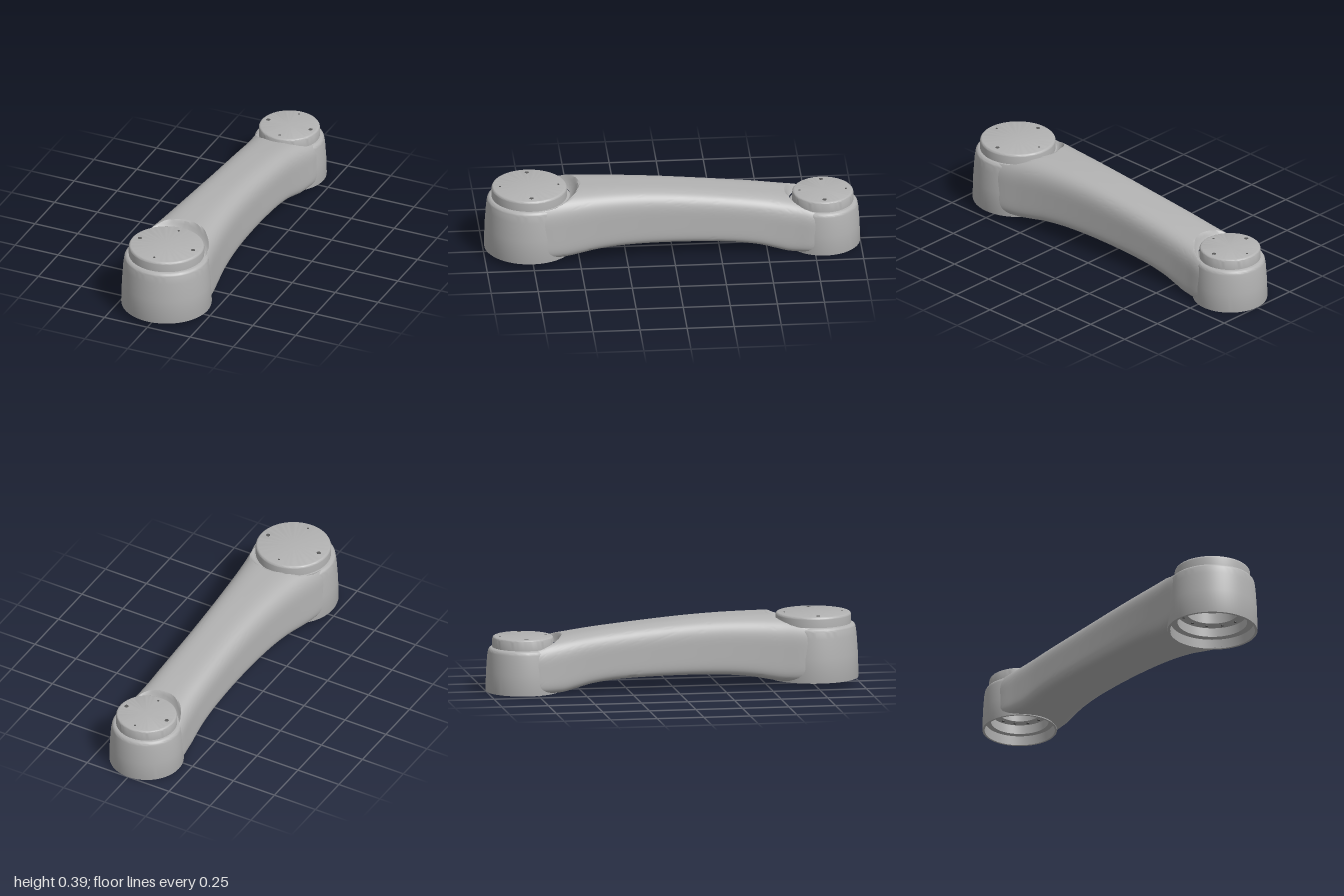
import * as THREE from 'three';
import { toCreasedNormals } from 'three/addons/utils/BufferGeometryUtils.js';

const shell = new THREE.MeshStandardMaterial({ color: 0xb2b2b2 });
shell.name = 'shell grey';
const dark = new THREE.MeshStandardMaterial({ color: 0x5a5a5a });
dark.name = 'screw hole grey';

// The two joint housings: centre z, radius, bottom, shoulder height, cap radius and top
const BIG = { name: 'largeJoint', z: 0.757, r: 0.24, y0: 0.032, y1: 0.324, capR: 0.2, capY: 0.381, cutR: 0.2, cutK: 18, screwR: 0.155 };
const SMALL = { name: 'smallJoint', z: -0.803, r: 0.198, y0: 0, y1: 0.237, capR: 0.162, capY: 0.295, cutR: 0.156, cutK: 30, screwR: 0.123 };

// Smooth curve through [position, value] pairs
function curve(pts) {
  const slope = (i) => {
    const a = pts[Math.max(i - 1, 0)], b = pts[Math.min(i + 1, pts.length - 1)];
    return (b[1] - a[1]) / (b[0] - a[0]);
  };
  return (z) => {
    let i = 0;
    while (i < pts.length - 2 && z > pts[i + 1][0]) i++;
    const [z0, v0] = pts[i], [z1, v1] = pts[i + 1], h = z1 - z0;
    const t = THREE.MathUtils.clamp((z - z0) / h, 0, 1), t2 = t * t, t3 = t2 * t;
    return (2 * t3 - 3 * t2 + 1) * v0 + (t3 - 2 * t2 + t) * h * slope(i)
      + (3 * t2 - 2 * t3) * v1 + (t3 - t2) * h * slope(i + 1);
  };
}

const halfWidth = curve([[-0.81, 0.191], [-0.73, 0.189], [-0.64, 0.176], [-0.5, 0.163], [-0.2, 0.156],
  [0, 0.158], [0.2, 0.167], [0.4, 0.185], [0.55, 0.206], [0.68, 0.228], [0.76, 0.233]]);
const topLine = curve([[-0.81, 0.265], [-0.6, 0.3], [-0.4, 0.328], [0, 0.368], [0.25, 0.383], [0.5, 0.387], [0.76, 0.385]]);
const bottomLine = curve([[-0.81, 0.001], [-0.62, 0.004], [-0.55, 0.02], [-0.45, 0.046], [-0.3, 0.065], [0, 0.076],
  [0.25, 0.074], [0.4, 0.062], [0.5, 0.045], [0.58, 0.034], [0.76, 0.033]]);

// Lofted beam whose ends wrap around the housings and dip to their shoulders
function beamGeometry() {
  const rows = 90, around = 120, pos = [], index = [];
  const endZ = (joint, u, v, side) => {
    const rr = joint.r * (0.965 - 0.065 * (v + 1) / 2);
    return joint.z + side * Math.sqrt(Math.max(rr * rr - (u * 0.96 * joint.r) ** 2, 0));
  };
  for (let i = 0; i <= rows; i++) {
    const s = (1 - Math.cos(Math.PI * i / rows)) / 2;
    for (let j = 0; j < around; j++) {
      // rounded cross-section, softer on top than underneath
      const a = 2 * Math.PI * j / around, c = Math.cos(a), d = Math.sin(a);
      const n = d > 0 ? 3.4 : 7;
      const k = Math.pow(Math.abs(c) ** n + Math.abs(d) ** n, -1 / n);
      const u = c * k, v = d * k;
      const z = THREE.MathUtils.lerp(endZ(SMALL, u, v, 1), endZ(BIG, u, v, -1), s);
      const top = topLine(z), bottom = bottomLine(z);
      let y = (top + bottom) / 2 + v * (top - bottom) / 2;
      const x = u * halfWidth(z) * (0.97 - 0.03 * v);
      for (const joint of [BIG, SMALL]) {
        const gap = Math.max(Math.hypot(x, z - joint.z) - joint.cutR, 0);
        y = Math.min(y, joint.y1 - 0.002 + joint.cutK * gap * gap);
      }
      pos.push(x, y, z);
      if (i < rows) {
        const p = i * around + j, q = i * around + (j + 1) % around;
        index.push(p, q, p + around, q, q + around, p + around);
      }
    }
  }
  const g = new THREE.BufferGeometry();
  g.setAttribute('position', new THREE.Float32BufferAttribute(pos, 3));
  g.setIndex(index);
  return toCreasedNormals(g, 0.6);
}

function lathe(points) {
  const g = new THREE.LatheGeometry(points.map(([x, y]) => new THREE.Vector2(x, y)), 72);
  return toCreasedNormals(g, 0.6);
}

// Quarter-round from the wall (r, y - f) to the top (r - f, y)
function rounded(r, y, f) {
  return Array.from({ length: 6 }, (_, i) => {
    const a = i * Math.PI / 10;
    return [r - f + f * Math.cos(a), y - f + f * Math.sin(a)];
  });
}

function add(parent, name, geometry, material, x = 0, y = 0, z = 0) {
  const mesh = new THREE.Mesh(geometry, material);
  mesh.name = name;
  mesh.position.set(x, y, z);
  parent.add(mesh);
  return mesh;
}

function createJoint(j) {
  const group = new THREE.Group();
  group.name = j.name;
  group.position.z = j.z;
  const { r, y0, y1 } = j, h = y1 - y0;

  // Tapered housing with a stepped socket underneath
  add(group, 'housing', lathe([
    [0, y0 + 0.165], [r * 0.57, y0 + 0.165], [r * 0.57, y0 + 0.105],
    [r * 0.77, y0 + 0.1], [r * 0.77, y0 + 0.05],
    [r * 0.92, y0 + 0.05], [r * 0.94, y0],
    [r * 0.995, y0], [r, y0 + 0.005], [r * 0.985, y0 + h * 0.45], [r * 0.955, y0 + h * 0.8],
    ...rounded(r * 0.935, y1, 0.024), [0, y1],
  ]), shell);

  // Round cover cap
  add(group, 'coverCap', lathe([
    [j.capR, y1 - 0.004], ...rounded(j.capR, j.capY, 0.014), [0, j.capY],
  ]), shell);

  // Screw holes on the cap, the side pair larger
  for (let i = 0; i < 4; i++) {
    const a = i * Math.PI / 2, size = i % 2 ? 0.006 : 0.011;
    add(group, 'capScrewHole', new THREE.CylinderGeometry(size, size, 0.002, 16), dark,
      Math.cos(a) * j.screwR, j.capY, Math.sin(a) * j.screwR);
  }

  // Ring of bolts on the inner ledge of the socket
  for (let i = 0; i < 12; i++) {
    const a = i * Math.PI / 6;
    add(group, 'socketBolt', new THREE.CylinderGeometry(0.007, 0.007, 0.006, 12), dark,
      Math.cos(a) * r * 0.67, y0 + 0.101, Math.sin(a) * r * 0.67);
  }
  return group;
}

export function createModel() {
  const model = new THREE.Group();
  model.name = 'armLink';
  add(model, 'beam', beamGeometry(), shell);
  model.add(createJoint(BIG), createJoint(SMALL));
  return model;
}
